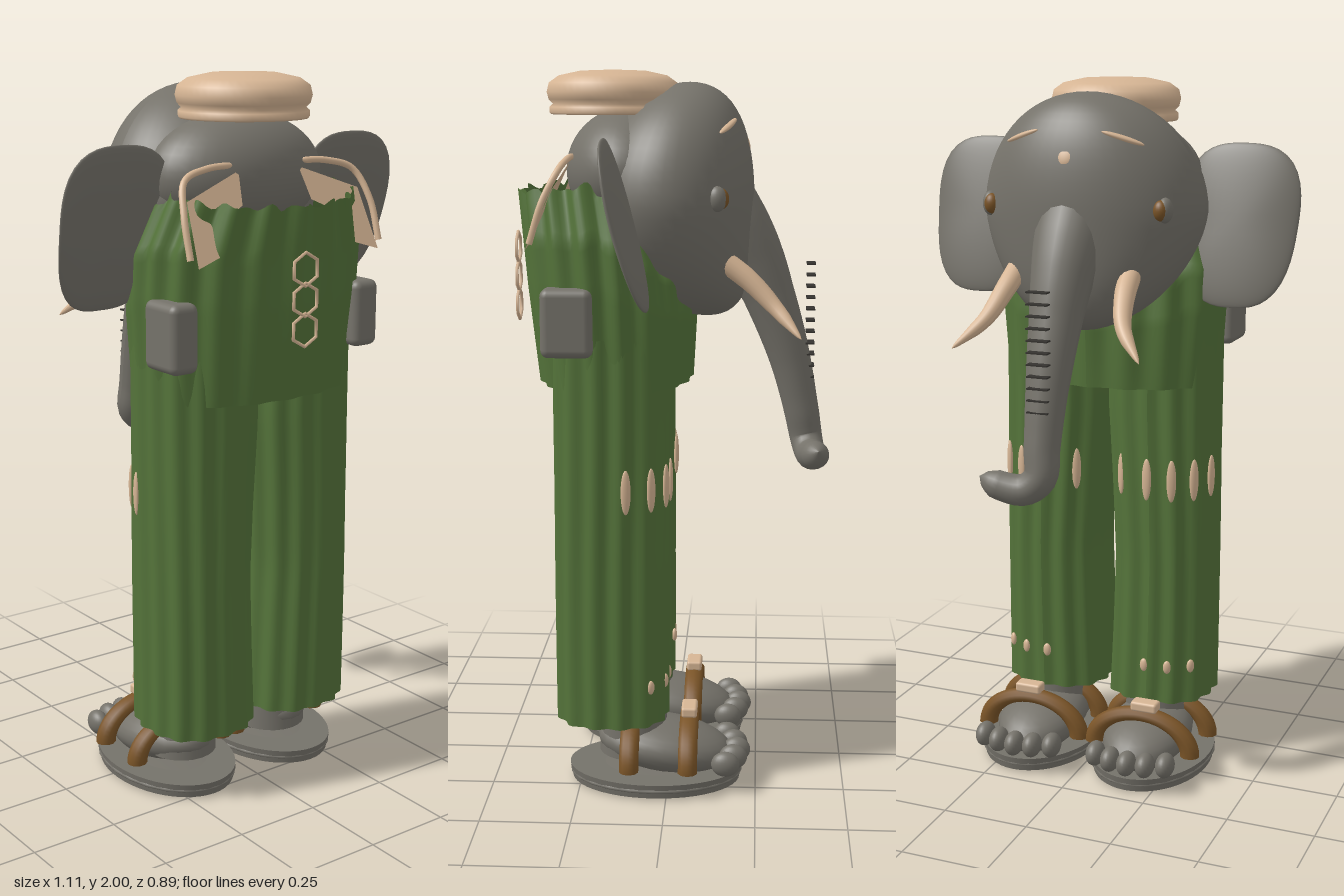
import * as THREE from 'three';
import { RoundedBoxGeometry } from 'three/addons/geometries/RoundedBoxGeometry.js';

const mat = (name, color, side = THREE.FrontSide) => {
  const m = new THREE.MeshStandardMaterial({ color, side });
  m.name = name;
  return m;
};
const V = (x, y, z) => new THREE.Vector3(x, y, z);
const lerp = THREE.MathUtils.lerp;

// Skin over a rule: u runs around, v runs along
function surface(nu, nv, rule) {
  const g = new THREE.PlaneGeometry(1, 1, nu, nv);
  const p = g.attributes.position, uv = g.attributes.uv;
  for (let i = 0; i < p.count; i++) {
    const q = rule(uv.getX(i), uv.getY(i));
    p.setXYZ(i, q.x, q.y, q.z);
  }
  g.computeVertexNormals();
  return g;
}

// Value from an evenly spaced list
function sample(list, t) {
  const f = t * (list.length - 1), i = Math.min(Math.floor(f), list.length - 2);
  return lerp(list[i], list[i + 1], f - i);
}

// Tube with changing radius and a rounded end
function taperedTube(points, radii, nu = 20, nv = 60) {
  const curve = new THREE.CatmullRomCurve3(points.map(p => V(...p)));
  const frames = curve.computeFrenetFrames(nv);
  return surface(nu, nv, (u, v) => {
    const k = Math.round(v * nv), a = u * Math.PI * 2;
    const r = sample(radii, v) * Math.sqrt(Math.min(1, (1 - v) / 0.05));
    return curve.getPointAt(v)
      .addScaledVector(frames.normals[k], r * Math.cos(a))
      .addScaledVector(frames.binormals[k], r * Math.sin(a));
  });
}

// Point on a slightly squared oval, a = 0 faces +z
function oval(a, cx, cz, rx, rz, n = 2.5) {
  const s = Math.sin(a), c = Math.cos(a);
  const k = 1 / Math.pow(Math.abs(s) ** n + Math.abs(c) ** n, 1 / n);
  return [cx + rx * s * k, cz + rz * c * k];
}

export function createModel() {
  const grey = mat('greySkin', 0x75726a);
  const tan = mat('tan', 0xd6b594);
  const tanSheet = mat('tanSheet', 0xd6b594, THREE.DoubleSide);
  const green = mat('greenCloth', 0x54733a, THREE.DoubleSide);
  const brown = mat('brownLeather', 0x7a5427);
  const dark = mat('darkWrinkle', 0x35332f);

  const root = new THREE.Group();
  const add = (name, geo, m, pos = [0, 0, 0], scale = [1, 1, 1], rot = [0, 0, 0]) => {
    const mesh = new THREE.Mesh(geo, m);
    mesh.name = name;
    mesh.position.set(...pos);
    mesh.scale.set(...scale);
    mesh.rotation.set(...rot);
    root.add(mesh);
    return mesh;
  };
  const ball = new THREE.SphereGeometry(1, 24, 16);

  // Head: ball leaning forward at crown and chin
  const head = new THREE.SphereGeometry(1, 48, 32);
  const hp = head.attributes.position;
  for (let i = 0; i < hp.count; i++) {
    const y = hp.getY(i), low = Math.max(0, -y), high = Math.max(0, y);
    hp.setXYZ(i, hp.getX(i) * 0.32 * (1 - 0.12 * low), 1.645 + y * 0.322,
      0.01 + hp.getZ(i) * 0.24 - 0.11 * low * low - 0.06 * high * high);
  }
  head.computeVertexNormals();
  add('head', head, grey);
  add('neck', new THREE.SphereGeometry(1, 40, 24), grey, [0, 1.73, 0.12], [0.27, 0.17, 0.172]);

  // Trunk curling to one side at the tip
  add('trunk', taperedTube(
    [[0, 1.65, -0.12], [0, 1.5, -0.22], [0, 1.35, -0.285], [0, 1.2, -0.335], [0, 1.05, -0.37],
      [0, 0.97, -0.385], [0.04, 0.935, -0.395], [0.1, 0.94, -0.405], [0.165, 0.965, -0.415]],
    [0.11, 0.1, 0.085, 0.073, 0.065, 0.057, 0.051, 0.047, 0.042, 0.036]), grey);
  for (let i = 0; i < 11; i++)
    add('trunkWrinkle', new THREE.BoxGeometry(0.06, 0.004, 0.025), dark, [0, 1.15 + i * 0.032, -0.391]);

  // Forehead mark
  add('foreheadMark', ball, tan, [0, 1.81, -0.2], [0.03, 0.035, 0.012], [0.4, 0, 0]);

  // Flat cap
  add('cap', new THREE.LatheGeometry([[0, 1.88], [0.172, 1.88], [0.176, 1.885], [0.176, 1.9], [0.166, 1.908],
    [0.178, 1.92], [0.183, 1.94], [0.177, 1.965], [0.15, 1.984], [0.09, 1.997], [0, 2]]
    .map(p => new THREE.Vector2(...p)), 48), tan, [0, 0, 0.163]);

  // Ear: flat rounded square, narrower below
  const ear = new THREE.SphereGeometry(1, 48, 24);
  const ep = ear.attributes.position;
  for (let i = 0; i < ep.count; i++) {
    const x = ep.getX(i), y = ep.getY(i), r = Math.hypot(x, y) || 1, n = 2.8;
    const k = 1 / Math.pow(Math.abs(x / r) ** n + Math.abs(y / r) ** n, 1 / n);
    ep.setXYZ(i, x * k * 0.165 * (1 + 0.1 * y), y * k * 0.228,
      ep.getZ(i) * 0.022 + 0.02 * x * x);
  }
  ear.computeVertexNormals();

  // Overalls body: open pleated shell
  add('overallsBody', surface(160, 24, (u, v) => {
    const a = u * Math.PI * 2 + Math.PI, c = Math.cos(a);
    const top = 1.7 + (c > 0 ? -0.03 : 0.2) * c + 0.012 * Math.sin(a * 22) * Math.sin(a * 5);
    const pleat = (0.005 + 0.007 * v) * Math.cos(a * 18);
    const rx = sample([0.312, 0.32, 0.328, 0.325, 0.275], v) + pleat;
    const rz = sample([0.212, 0.22, 0.228, 0.228, 0.215], v) + pleat;
    const [x, z] = oval(a, 0, sample([0.155, 0.16, 0.165, 0.175, 0.2], v), rx, rz, 2.3);
    return V(x, lerp(1.15, top, v), z);
  }), green);

  // Three hexagonal links on the back
  for (let i = 0; i < 3; i++)
    add('backLink', new THREE.TorusGeometry(0.044, 0.005, 6, 6), tan, [-0.003, 1.35 + i * 0.08, 0.435],
      [1, 1, 1], [0, 0, Math.PI / 6]);

  const legPoint = (s, a, y, grow = 0) => {
    const v = (y - 0.195) / 1.1;
    const fold = 0.006 * Math.cos(a * 14 + Math.sin(y * 4) * 0.5);
    const inner = sample([0.01, 0.02, 0.028, 0.018, 0.004, 0.004], v);
    const r = (0.318 - inner) / 2 + fold + grow;
    const [x, z] = oval(a, (0.318 + inner) / 2, 0.16, r, 0.156 + fold + grow);
    return V(s * x, y, z);
  };

  for (const s of [1, -1]) {
    const side = s > 0 ? 'left' : 'right';
    const put = (name, geo, m, p, sc, rot = [0, 0, 0]) =>
      add(side + name, geo, m, [s * p[0], p[1], p[2]], sc, [rot[0], s * rot[1], s * rot[2]]);
    const path = pts => pts.map(p => [s * p[0], p[1], p[2]]);

    put('Ear', ear, grey, [0.385, 1.606, 0.1], [s, 1, 1], [0.25, 0, 0]);

    // Face details
    put('EyeLid', ball, grey, [0.255, 1.665, -0.132], [0.022, 0.034, 0.026]);
    put('Eye', ball, brown, [0.247, 1.665, -0.142], [0.022, 0.028, 0.022]);
    put('Brow', ball, tan, [0.145, 1.852, -0.158], [0.06, 0.008, 0.012], [0, -0.35, -0.3]);
    add(side + 'Tusk', taperedTube(path([[0.165, 1.5, -0.14], [0.175, 1.44, -0.22], [0.2, 1.37, -0.29], [0.27, 1.295, -0.36]]),
      [0.03, 0.029, 0.025, 0.018, 0.004], 14, 24), tan);

    // Shoulder plate and strap on the back
    const zAt = y => 0.37 - (y - 1.54) * 0.45;
    const plate = new THREE.ShapeGeometry(new THREE.Shape(
      [[0.3, 1.53], [0.285, 1.69], [0.1, 1.755], [0.115, 1.67], [0.18, 1.64], [0.15, 1.575]]
        .map(p => new THREE.Vector2(s * p[0], p[1]))));
    const pp = plate.attributes.position;
    for (let i = 0; i < pp.count; i++) pp.setZ(i, zAt(pp.getY(i)));
    plate.computeVertexNormals();
    add(side + 'ShoulderPlate', plate, tanSheet);
    add(side + 'ShoulderStrap', taperedTube(path([[0.315, 1.55, 0.36], [0.31, 1.66, 0.325], [0.28, 1.74, 0.285],
      [0.2, 1.765, 0.27], [0.11, 1.77, 0.265]]), [0.009, 0.009], 10, 30), tan);

    // Side pad
    put('SidePad', new RoundedBoxGeometry(0.085, 0.185, 0.14, 3, 0.022), grey, [0.307, 1.342, 0.263]);

    // Trouser leg with torn knee and hem
    add(side + 'TrouserLeg', surface(96, 24, (u, v) =>
      legPoint(s, s * (u * Math.PI * 2 + Math.PI), 0.195 + v * 1.1)), green);
    const tear = (name, deg, y, w, h) => {
      const a = Math.PI - THREE.MathUtils.degToRad(deg), p = legPoint(s, a, y, 0.002);
      add(side + name, ball, tan, [p.x, p.y, p.z], [w, h, 0.008], [0, s * a, 0]);
    };
    for (const d of [72, 47, 24, -2, -38]) tear('KneeTear', d, 0.88, 0.014, 0.062);
    for (const d of [47, 22, -4]) tear('HemTear', d, 0.31, 0.012, 0.02);

    // Foot on a flat sole
    put('Sole', new THREE.CylinderGeometry(1, 0.97, 0.04, 48), grey, [0.177, 0.025, 0.037], [0.175, 1, 0.248]);
    put('SoleRim', ball, grey, [0.177, 0.025, 0.037], [0.177, 0.025, 0.248]);
    put('Foot', ball, grey, [0.17, 0.1, 0.01], [0.125, 0.075, 0.195], [-0.14, 0, 0]);
    put('Ankle', new THREE.CylinderGeometry(0.09, 0.1, 0.16, 24), grey, [0.165, 0.16, 0.1]);
    for (let i = 0; i < 5; i++) {
      const t = i / 4;
      put('Toe', ball, grey, [0.07 + t * 0.215, 0.085, -0.165 - 0.03 * Math.sin(t * Math.PI)],
        [0.027, 0.036, 0.04]);
    }

    // Sandal straps over the foot
    for (const z of [0.105, -0.06]) {
      const arch = new THREE.TorusGeometry(0.145, 0.028, 10, 28, Math.PI);
      put('SandalStrap', arch, brown, [0.175, 0.075, z], [1.03, 0.74, 1]);
    }
    put('StrapBuckle', new RoundedBoxGeometry(0.08, 0.03, 0.045, 2, 0.008), tan, [0.185, 0.21, -0.06]);
  }
  return root;
}
